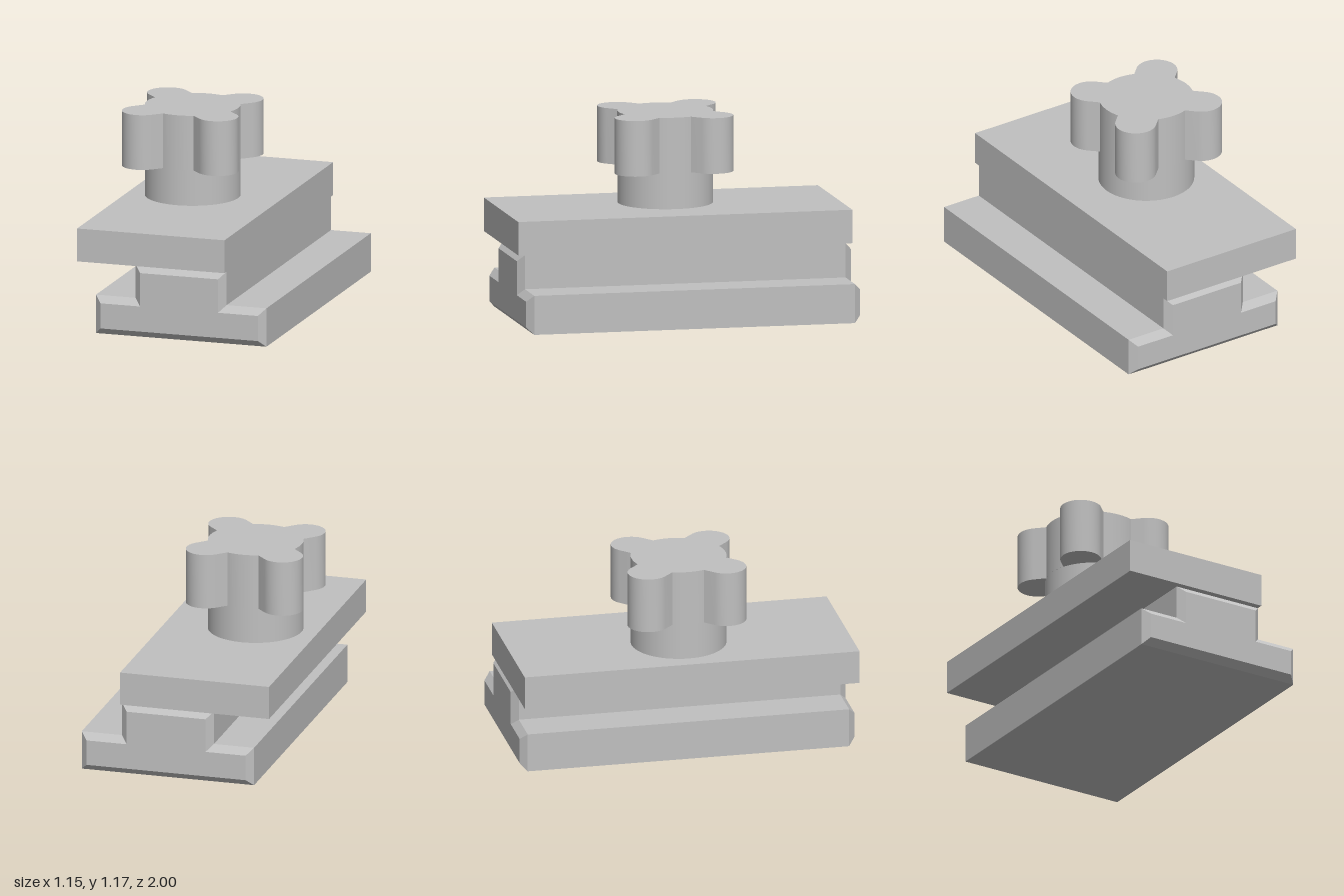
import * as THREE from 'three';
import { toCreasedNormals } from 'three/addons/utils/BufferGeometryUtils.js';

export function createModel() {
  const group = new THREE.Group();
  const grey = new THREE.MeshStandardMaterial({ color: 0xc0c0c0 });
  grey.name = 'grey';

  const add = (name, geometry, x = 0, y = 0, z = 0) => {
    const mesh = new THREE.Mesh(geometry, grey);
    mesh.name = name;
    mesh.position.set(x, y, z);
    group.add(mesh);
  };

  // T-slot nut: inverted T section, chamfered at both ends
  const c = 0.04;
  const tee = new THREE.Shape([
    [-0.434, 0.04], [0.535, 0.04], [0.535, 0.191], [0.29, 0.191],
    [0.29, 0.392], [-0.19, 0.392], [-0.19, 0.191], [-0.434, 0.191],
  ].map(([x, y]) => new THREE.Vector2(x, y)));
  add('slidingNut', new THREE.ExtrudeGeometry(tee, {
    depth: 2 - 2 * c, bevelEnabled: true, bevelSegments: 1, bevelSize: c, bevelThickness: c,
  }), 0, 0, -1 + c);

  // Clamping plate
  add('clampPlate', new THREE.BoxGeometry(0.907, 0.198, 2), -0.1235, 0.531, 0);

  // Knob neck
  const knobX = -0.2, radius = 0.28;
  add('knobNeck', new THREE.CylinderGeometry(radius, radius, 0.212, 64), knobX, 0.736, 0);

  // Four-lobed knob head: body arcs alternating with rounded lobes
  const head = new THREE.Shape();
  const half = Math.asin(0.094 / radius);
  const lobeRadius = 0.12, lobeDistance = 0.232 * Math.SQRT2;
  for (let i = 0; i < 4; i++) {
    const a = i * Math.PI / 2, d = a + Math.PI / 4;
    head.absarc(0, 0, radius, a - half, a + half, false);
    head.absarc(Math.cos(d) * lobeDistance, Math.sin(d) * lobeDistance, lobeRadius,
      d - Math.PI / 2, d + Math.PI / 2, false);
  }
  const headGeometry = new THREE.ExtrudeGeometry(head, {
    depth: 0.329, bevelEnabled: false, curveSegments: 16,
  });
  headGeometry.rotateX(-Math.PI / 2);
  add('knobHead', toCreasedNormals(headGeometry, 0.4), knobX, 0.842, 0);

  return group;
}
